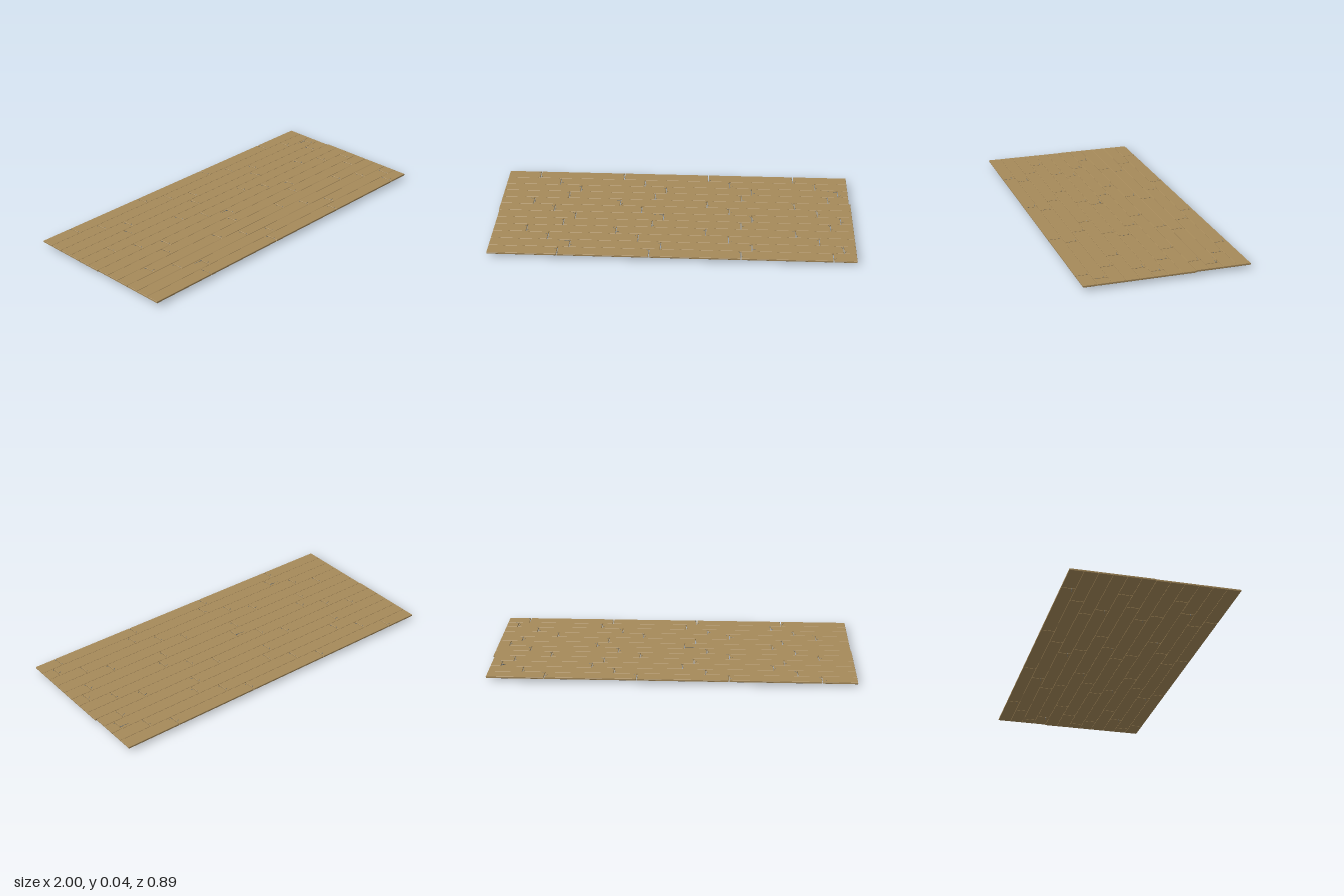
import * as THREE from 'three';

const ROWS = 12, PITCH = 0.0746, GAP = 0.0012, JOINT = 0.005;
const Y0 = 0.0185, Y1 = 0.0285, BEVEL = 0.0012;
const FIRST_JOINT = [-0.812, -0.685, -0.557, -0.617]; // stagger repeats every four rows

export function createModel() {
  const group = new THREE.Group();
  const mat = (name, color) => {
    const m = new THREE.MeshStandardMaterial({ color });
    m.name = name;
    return m;
  };
  const wood = mat('wood', 0xa68a5a);
  const metal = mat('greyMetal', 0x6c7274);

  let seed = 7;
  const rand = (a = 0, b = 1) => {
    seed = (seed * 16807) % 2147483647;
    return a + (b - a) * (seed / 2147483647);
  };

  // Plank with softly chamfered edges
  const plank = (xa, xb, z) => {
    const w = xb - xa - 2 * BEVEL, d = PITCH - GAP - 2 * BEVEL;
    const s = new THREE.Shape();
    s.moveTo(-w / 2, -d / 2);
    s.lineTo(w / 2, -d / 2);
    s.lineTo(w / 2, d / 2);
    s.lineTo(-w / 2, d / 2);
    const g = new THREE.ExtrudeGeometry(s, {
      depth: Y1 - Y0 - 2 * BEVEL, bevelEnabled: true,
      bevelSize: BEVEL, bevelThickness: BEVEL, bevelSegments: 1,
    });
    g.rotateX(-Math.PI / 2);
    g.translate((xa + xb) / 2, Y0 + BEVEL, z);
    const mesh = new THREE.Mesh(g, wood);
    mesh.name = 'plank';
    group.add(mesh);
  };

  // Thin bent spike between two points
  const V = (x, y, z) => new THREE.Vector3(x, y, z);
  const spike = (a, b, r) => {
    const dir = b.clone().sub(a);
    const mesh = new THREE.Mesh(new THREE.ConeGeometry(r, dir.length(), 5), metal);
    mesh.position.copy(a).add(b).multiplyScalar(0.5);
    mesh.quaternion.setFromUnitVectors(V(0, 1, 0), dir.normalize());
    mesh.name = 'spike';
    group.add(mesh);
  };

  // Long spike lying along the grain beside a joint
  const longSpike = (x, z) => spike(V(x, Y1 + 0.001, z), V(x - 0.062, Y1 + 0.002, z - 0.003), 0.0018);

  for (let row = 0; row < ROWS; row++) {
    const z = (row - (ROWS - 1) / 2) * PITCH;
    const left = row < 6 ? -1 : -0.996;
    const right = row < 4 ? 0.992 : 1;
    const joints = [0, 1, 2, 3].map((i) => FIRST_JOINT[row % 4] + i * 0.497);
    const ends = [left, ...joints, right];
    for (let i = 0; i < ends.length - 1; i++) {
      plank(ends[i] + (i ? JOINT / 2 : 0), ends[i + 1] - (i < 4 ? JOINT / 2 : 0), z);
    }

    // Spikes standing and hanging near the two corners of each joint
    joints.forEach((x, i) => {
      for (const side of [-1, 1]) {
        const zs = z + side * 0.018 + rand(-0.005, 0.005);
        spike(
          V(x + side * 0.004, Y1 - 0.001, zs),
          V(x + side * rand(0.01, 0.022), Y1 + rand(0.002, 0.009), zs + rand(-0.006, 0.006)),
          0.0018,
        );
      }
      if ((row + i) % 3 === 0) {
        const tip = row === 0 && i === 0 ? 0 : rand(0.003, 0.012);
        for (const side of [-1, 1]) {
          spike(V(x + side * 0.005, Y0 + 0.001, z + 0.015), V(x + side * 0.012, tip, z + 0.015 + side * 0.004), 0.0012);
        }
      }
    });
    if (row % 4 === 2) longSpike(joints[[3, 1, 0][(row - 2) / 4]], z - 0.02);
  }
  return group;
}
